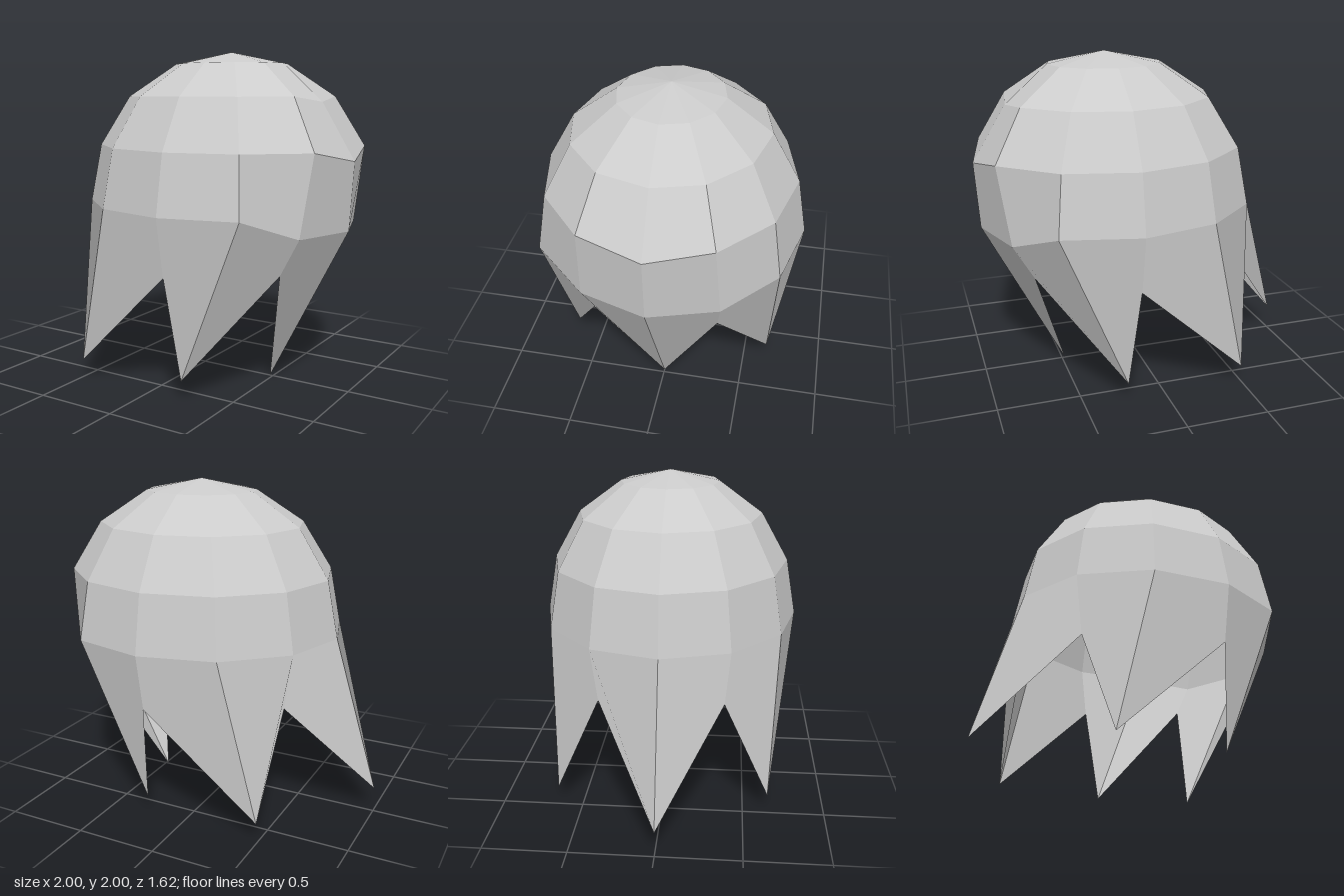
import * as THREE from 'three';

const SIDES = 12, CENTER_X = 0.19, DEPTH = 0.89;

// Point on an elliptical ring around the dome's axis
function ringPoint(i, radius, y) {
  const a = (i / SIDES) * Math.PI * 2;
  return new THREE.Vector3(CENTER_X + radius * Math.cos(a), y, DEPTH * radius * Math.sin(a));
}

// Builds the front half from rows of 7 points and mirrors it across z.
// Every four-sided facet gets a single flat normal.
function mirroredShell(rows) {
  const positions = [], normals = [];
  const tri = (a, b, c, n) => {
    for (const p of [a, b, c]) {
      positions.push(p.x, p.y, p.z);
      normals.push(n.x, n.y, n.z);
    }
    for (const p of [a, c, b]) {
      positions.push(p.x, p.y, -p.z);
      normals.push(n.x, n.y, -n.z);
    }
  };
  for (let r = 0; r < rows.length - 1; r++) {
    for (let i = 0; i < SIDES / 2; i++) {
      const a = rows[r][i], b = rows[r][i + 1];
      const c = rows[r + 1][i + 1], d = rows[r + 1][i];
      const n = c.clone().sub(a).cross(d.clone().sub(b)).normalize();
      // Diagonals run down to the column that carries a tip
      if (i % 2) {
        tri(a, b, c, n);
        tri(a, c, d, n);
      } else {
        tri(a, b, d, n);
        tri(b, c, d, n);
      }
    }
  }
  const g = new THREE.BufferGeometry();
  g.setAttribute('position', new THREE.Float32BufferAttribute(positions, 3));
  g.setAttribute('normal', new THREE.Float32BufferAttribute(normals, 3));
  return g;
}

// Fan of flat triangles from the apex to the first ring, mirrored across z
function crownFan(apex, ring) {
  const positions = [];
  for (let i = 0; i < SIDES / 2; i++) {
    const a = ring[i], b = ring[i + 1];
    for (const p of [apex, b, a]) positions.push(p.x, p.y, p.z);
    for (const p of [apex, a, b]) positions.push(p.x, p.y, -p.z);
  }
  const g = new THREE.BufferGeometry();
  g.setAttribute('position', new THREE.Float32BufferAttribute(positions, 3));
  g.computeVertexNormals();
  return g;
}

export function createModel() {
  const group = new THREE.Group();
  group.name = 'hair';
  const material = new THREE.MeshStandardMaterial({ color: 0xcccccc, side: THREE.DoubleSide });
  const point = (x, y, z) => new THREE.Vector3(x, y, z);

  // Dome rings: radius and height
  const rings = [[0.35, 1.93], [0.65, 1.735], [0.84, 1.437], [0.91, 1.087]].map(([radius, y]) =>
    Array.from({ length: 7 }, (_, i) => ringPoint(i, radius, y)));

  // The +x side of the dome is flattened and pulled down
  rings[1][0] = point(0.795, 1.705, 0);
  rings[2][0] = point(1, 1.37, 0);
  rings[3][0] = point(0.975, 0.965, 0);
  rings[3][1] = point(0.85, 0.965, 0.4);

  // Lower edge: pointed tips alternate with notches
  const hem = [
    point(0.48, 0, 0), point(0.72, 0.74, 0.37),
    point(0.24, 0.12, 0.65), ringPoint(3, 0.84, 0.74),
    point(-0.49, 0.115, 0.65), ringPoint(5, 0.84, 0.74),
    point(-1, 0.155, 0),
  ];

  const parts = {
    crown: crownFan(point(CENTER_X, 2, 0), rings[0]),
    dome: mirroredShell(rings),
    pointedLocks: mirroredShell([rings[3], hem]),
  };
  for (const [name, geometry] of Object.entries(parts)) {
    const mesh = new THREE.Mesh(geometry, material);
    mesh.name = name;
    group.add(mesh);
  }
  return group;
}
